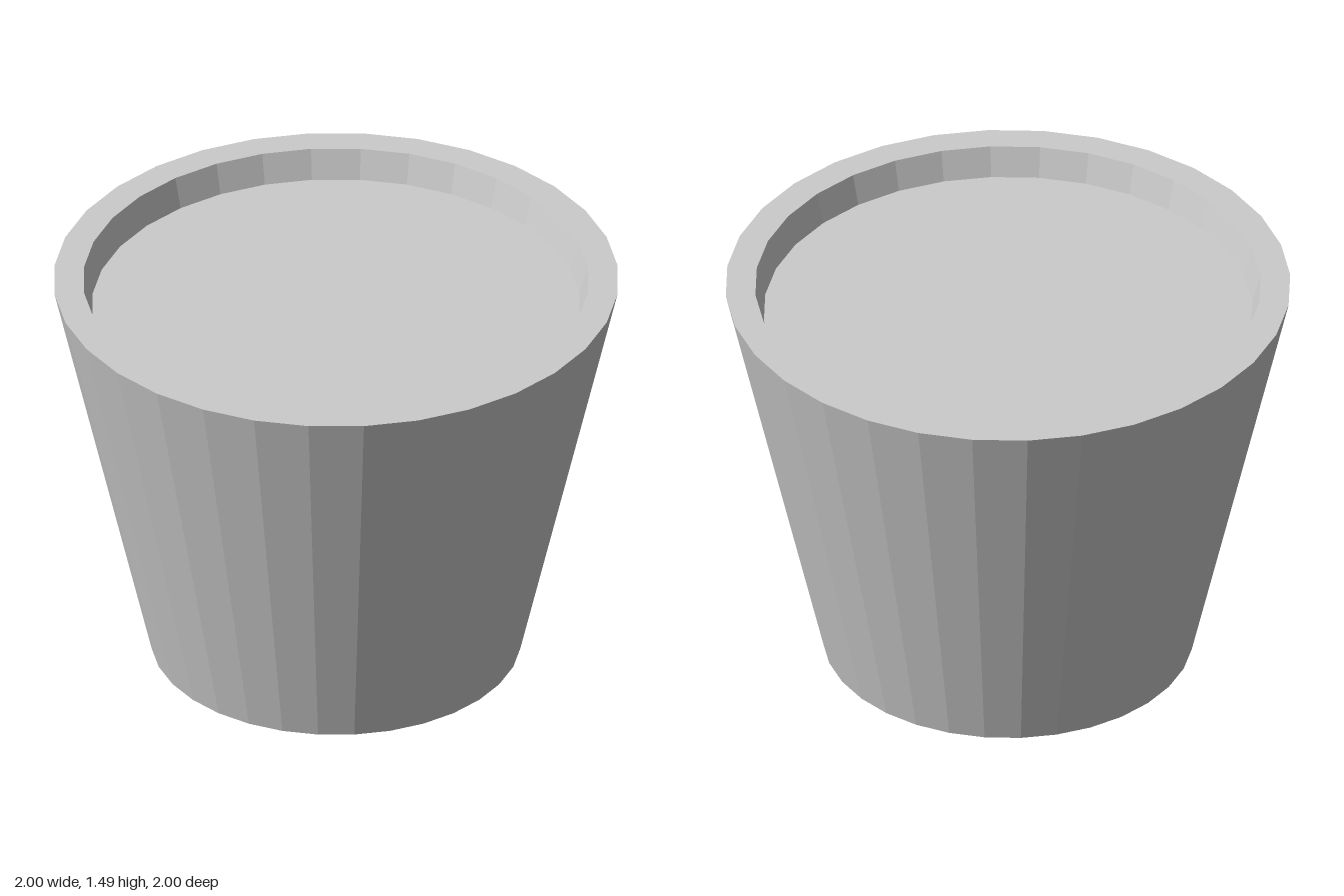
import * as THREE from 'three';

const SIDES = 32;
const HEIGHT = 1.485;
const SOIL_Y = 1.375;
const SOIL_RADIUS = 0.865;

export function createModel() {
  const group = new THREE.Group();
  group.name = 'planter';
  const material = new THREE.MeshStandardMaterial({ color: 0xcccccc, flatShading: true });

  // Tapered pot: base, outer wall, flat rim and inner lip
  const profile = [
    [0, 0],
    [0.655, 0],
    [1, HEIGHT],
    [0.895, HEIGHT],
    [SOIL_RADIUS, SOIL_Y],
  ].map(([r, y]) => new THREE.Vector2(r, y));
  const pot = new THREE.Mesh(new THREE.LatheGeometry(profile, SIDES), material);
  pot.name = 'pot';
  group.add(pot);

  // Flat soil disc filling the pot just below the rim
  const soil = new THREE.Mesh(new THREE.CircleGeometry(SOIL_RADIUS, SIDES), material);
  soil.name = 'soil';
  soil.rotation.x = -Math.PI / 2;
  soil.position.y = SOIL_Y;
  group.add(soil);

  return group;
}
